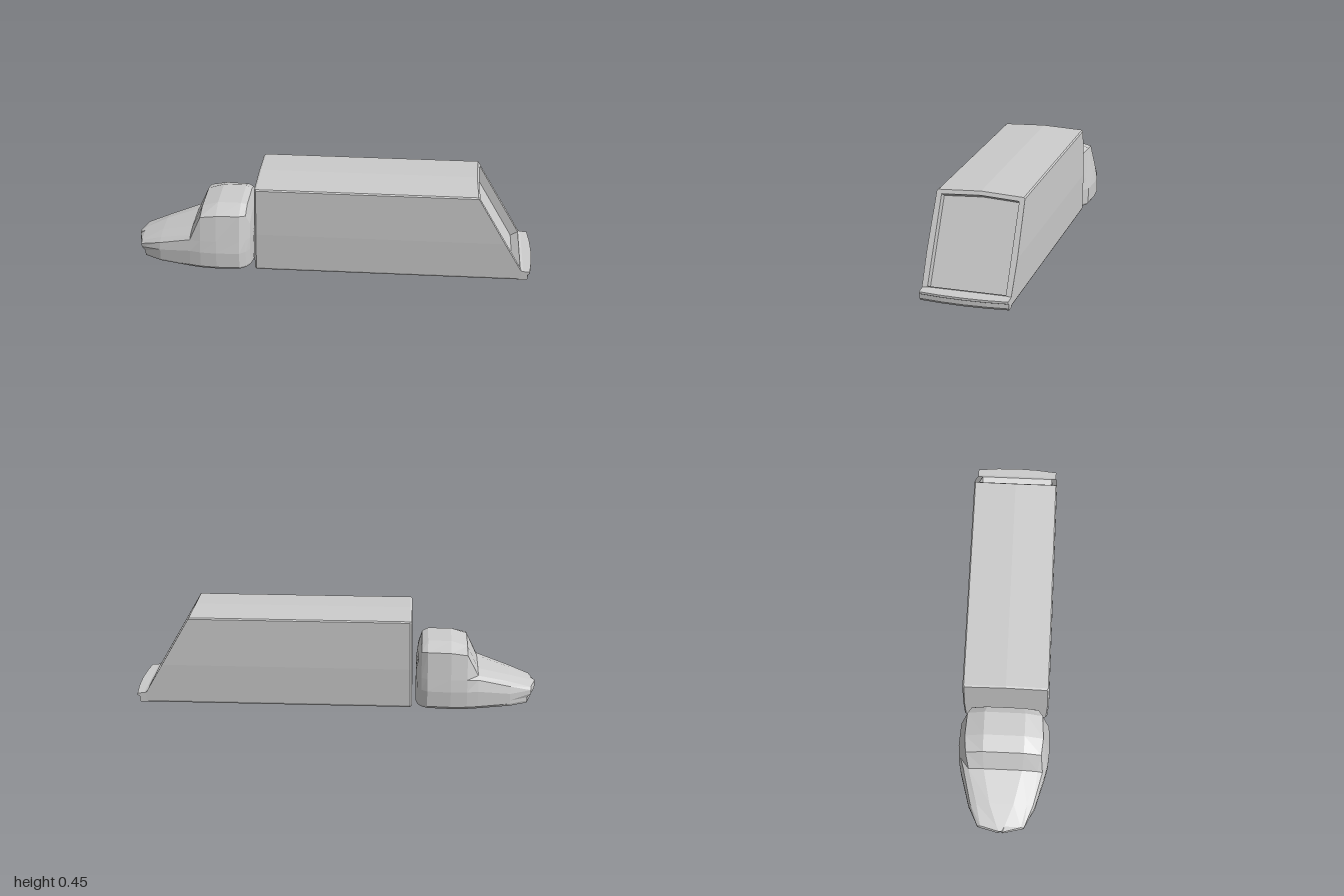
import * as THREE from 'three';

const grey = new THREE.MeshStandardMaterial({ color: 0xcccccc, flatShading: true, side: THREE.DoubleSide });

// Skins a list of equal-length rings (ordered along +x) and caps both ends.
function loft(name, rings) {
  const pos = [];
  const tri = (a, b, c) => {
    const n = b.clone().sub(a).cross(c.clone().sub(a));
    if (n.length() > 1e-9) for (const p of [a, b, c]) pos.push(p.x, p.y, p.z);
  };
  const n = rings[0].length;
  for (let i = 0; i < rings.length - 1; i++) {
    for (let j = 0; j < n; j++) {
      const k = (j + 1) % n;
      const [a, b, c, d] = [rings[i][j], rings[i][k], rings[i + 1][k], rings[i + 1][j]];
      tri(a, d, c);
      tri(a, c, b);
    }
  }
  const cap = (ring, rear) => {
    const mid = ring.reduce((s, p) => s.add(p), new THREE.Vector3()).divideScalar(n);
    for (let j = 0; j < n; j++) {
      const a = ring[j], b = ring[(j + 1) % n];
      rear ? tri(mid, b, a) : tri(mid, a, b);
    }
  };
  cap(rings[0], false);
  cap(rings[rings.length - 1], true);
  const geo = new THREE.BufferGeometry();
  geo.setAttribute('position', new THREE.Float32BufferAttribute(pos, 3));
  geo.computeVertexNormals();
  const mesh = new THREE.Mesh(geo, grey);
  mesh.name = name;
  return mesh;
}

// Mirrors a half section of [y, z] points (bottom to top) into a full ring.
function ring(half, xOf) {
  const other = half.filter(p => p[1] > 0).reverse().map(([y, z]) => [y, -z]);
  return [...half, ...other].map(([y, z]) => new THREE.Vector3(xOf(y), y, z));
}

function createCab() {
  // x, width, side y, belt y, belt z, roof edge y, roof edge z, top y, top z
  const stations = [
    [-1.0, 0.012, 0.045, 0.06, 0.012, 0.072, 0.01, 0.08, 0.005],
    [-0.975, 0.115, 0.05, 0.068, 0.115, 0.08, 0.1, 0.09, 0.02],
    [-0.87, 0.165, 0.065, 0.1, 0.155, 0.115, 0.125, 0.127, 0.06],
    [-0.71, 0.21, 0.09, 0.145, 0.195, 0.16, 0.17, 0.172, 0.095],
    [-0.655, 0.222, 0.09, 0.15, 0.212, 0.268, 0.185, 0.29, 0.1],
    [-0.575, 0.228, 0.09, 0.15, 0.217, 0.28, 0.192, 0.314, 0.1],
    [-0.46, 0.221, 0.09, 0.15, 0.209, 0.28, 0.185, 0.314, 0.1],
    [-0.43, 0.198, 0.09, 0.15, 0.19, 0.275, 0.165, 0.302, 0.09],
    [-0.412, 0.165, 0.09, 0.15, 0.16, 0.225, 0.145, 0.24, 0.08],
    [-0.402, 0.11, 0.09, 0.13, 0.11, 0.155, 0.105, 0.165, 0.07],
  ];
  return loft('cab', stations.map(([x, w, sy, by, bz, ey, ez, ty, tz]) => {
    // the chin is set back beneath the nose
    const chin = x < -0.95 ? 0.018 : 0;
    const half = [[0, w * 0.96], [0.012, w], [0.03, w], [sy, w], [by, bz], [ey, ez], [ty, tz]];
    return ring(half, y => x + (y < 0.035 ? chin : 0));
  }));
}

function createCargoBody() {
  const section = [[0, 0.205], [0.01, 0.21], [0.05, 0.211], [0.2, 0.2145], [0.438, 0.21], [0.444, 0.204], [0.453, 0]];
  const slope = y => 0.71 + (0.45 - Math.max(y, 0.05)) * 0.575;
  const front = y => -0.376 + 0.016 * y;

  // bevelled front edge
  const inset = section.map(([y, z]) => [0.226 + (y - 0.226) * 0.975, z * 0.965]);
  // opening in the sloped tail, then its recessed floor
  const opening = section.map(([y, z]) => z === 0 ? [0.436, 0]
    : [THREE.MathUtils.clamp(y, 0.057, 0.427), 0.185]);
  const rim = ring(opening, slope);
  const floor = rim.map(p => p.clone().add(new THREE.Vector3(-0.037, -0.021, 0)));

  return loft('cargoBody', [
    ring(inset, y => front(y) - 0.009),
    ring(section, front),
    ring(section, slope),
    rim,
    floor,
  ]);
}

function createTailLedge() {
  const profile = [[0.93, 0], [0.982, 0], [0.988, 0.01], [0.986, 0.03], [0.998, 0.036], [0.997, 0.046], [0.95, 0.048], [0.935, 0.053]];
  const shape = new THREE.Shape(profile.map(([x, y]) => new THREE.Vector2(x, y)));
  const geo = new THREE.ExtrudeGeometry(shape, { depth: 0.42, steps: 4, bevelEnabled: false });
  geo.translate(0, 0, -0.21);
  // bow the outer edge in plan
  const p = geo.attributes.position;
  for (let i = 0; i < p.count; i++) {
    if (p.getX(i) > 0.96) p.setX(i, p.getX(i) - 0.014 * (p.getZ(i) / 0.21) ** 2);
  }
  geo.computeVertexNormals();
  const mesh = new THREE.Mesh(geo, grey);
  mesh.name = 'tailLedge';
  return mesh;
}

export function createModel() {
  const model = new THREE.Group();
  model.name = 'truck';
  model.add(createCab(), createCargoBody(), createTailLedge());
  return model;
}
